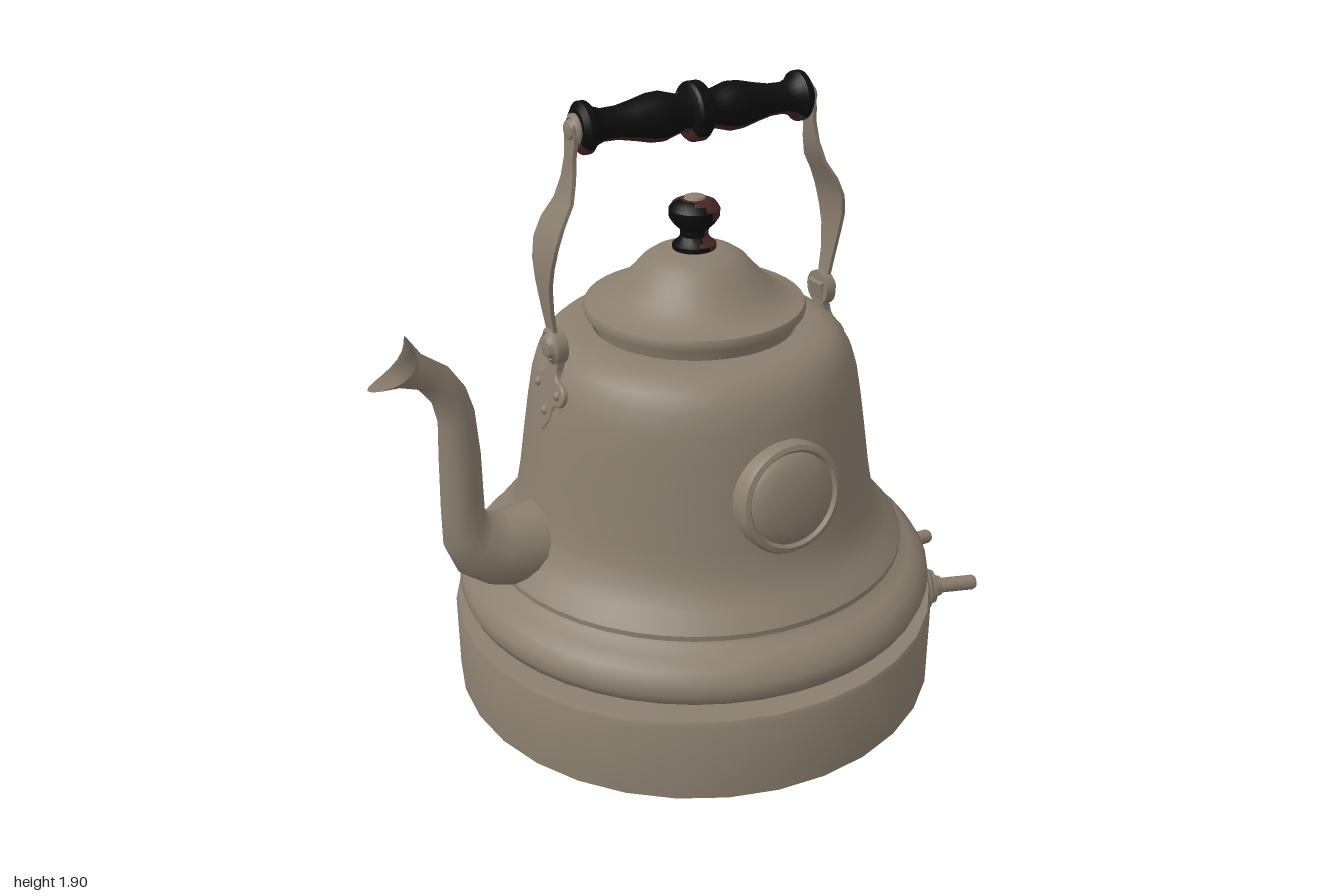
import * as THREE from 'three';
import { toCreasedNormals, mergeVertices } from 'three/addons/utils/BufferGeometryUtils.js';

const mat = (name, color, side = THREE.FrontSide) => {
  const m = new THREE.MeshStandardMaterial({ color, side });
  m.name = name;
  return m;
};

// Smooth lathe with sharp edges kept where the profile turns hard
const lathe = (profile, segments = 32) => toCreasedNormals(
  new THREE.LatheGeometry(profile.map(([r, y]) => new THREE.Vector2(r, y)), segments), 0.62);

// Skin through closed rings of points, optionally capped at both ends
function loft(rings, capped) {
  const n = rings[0].length, pos = [], idx = [];
  rings.forEach(ring => ring.forEach(p => pos.push(p.x, p.y, p.z)));
  for (let r = 0; r < rings.length - 1; r++) {
    for (let i = 0; i < n; i++) {
      const a = r * n + i, b = r * n + (i + 1) % n;
      idx.push(a, b, b + n, a, b + n, a + n);
    }
  }
  if (capped) {
    const top = (rings.length - 1) * n;
    for (let i = 1; i < n - 1; i++) idx.push(0, i + 1, i, top, top + i, top + i + 1);
  }
  const g = new THREE.BufferGeometry();
  g.setAttribute('position', new THREE.Float32BufferAttribute(pos, 3));
  g.setIndex(idx);
  g.computeVertexNormals();
  return g;
}

export function createModel() {
  const metal = mat('aged metal', 0x8a7e6e, THREE.DoubleSide);
  const red = mat('dark red wood', 0x4a2626);
  const black = mat('worn black', 0x0d0d0d);
  const model = new THREE.Group();
  model.name = 'kettle';
  const kettle = new THREE.Group();
  kettle.name = 'kettleParts';
  kettle.position.x = 0.025;
  model.add(kettle);

  const add = (parent, name, geometry, material, x = 0, y = 0, z = 0) => {
    const mesh = new THREE.Mesh(geometry, material);
    mesh.name = name;
    mesh.position.set(x, y, z);
    parent.add(mesh);
    return mesh;
  };

  // Heating base
  add(kettle, 'base', lathe([[0, 0], [0.77, 0], [0.77, 0.25], [0.762, 0.265], [0.67, 0.268]]), metal);

  // Bell-shaped body with rolled lower bulge
  add(kettle, 'body', lathe([
    [0.66, 0.262], [0.675, 0.285], [0.71, 0.29], [0.74, 0.31], [0.752, 0.34], [0.748, 0.37], [0.725, 0.405],
    [0.69, 0.43], [0.65, 0.445], [0.64, 0.458], [0.657, 0.466], [0.657, 0.482], [0.64, 0.503], [0.61, 0.535],
    [0.58, 0.575], [0.56, 0.63], [0.547, 0.7], [0.53, 0.82], [0.512, 0.94], [0.496, 1.03], [0.478, 1.09],
    [0.452, 1.135], [0.42, 1.163], [0.38, 1.175], [0.335, 1.18], [0.31, 1.18],
  ], 48), metal);

  // Lid
  add(kettle, 'lid', lathe([
    [0.3, 1.17], [0.305, 1.195], [0.31, 1.215], [0.332, 1.22], [0.335, 1.235], [0.33, 1.248], [0.3, 1.255],
    [0.265, 1.27], [0.23, 1.297], [0.19, 1.338], [0.155, 1.377], [0.125, 1.397], [0.08, 1.409], [0, 1.413],
  ], 40), metal);

  // Turned wood parts: a black worn shell leaning out of the red one
  const turned = (name, profile, shift) => {
    const g = new THREE.Group();
    g.name = name;
    const geometry = lathe(profile, 24);
    add(g, name + 'Wood', geometry, red);
    add(g, name + 'Wear', geometry, black, ...shift);
    kettle.add(g);
    return g;
  };

  turned('lidKnob', [
    [0, 1.405], [0.064, 1.405], [0.064, 1.425], [0.05, 1.435], [0.04, 1.45], [0.042, 1.47], [0.06, 1.487],
    [0.074, 1.508], [0.075, 1.532], [0.063, 1.55], [0.04, 1.56], [0, 1.563],
  ], [-0.003, -0.001, 0.001]);
  add(kettle, 'knobScrew', lathe([[0.035, 1.555], [0.03, 1.567], [0, 1.573]], 16), metal);

  // Grip, turned profile mirrored about its central ring
  const half = [[0.085, 0.016], [0.078, 0.024], [0.054, 0.03], [0.052, 0.045], [0.06, 0.075], [0.07, 0.11],
    [0.068, 0.15], [0.056, 0.2], [0.046, 0.25], [0.045, 0.295], [0.055, 0.325], [0.073, 0.342],
    [0.073, 0.36], [0.055, 0.374], [0, 0.376]];
  const grip = turned('grip', [...half.map(([r, y]) => [r, -y]).reverse(), ...half], [0.003, 0, 0.003]);
  grip.rotation.z = Math.PI / 2;
  grip.position.set(-0.003, 1.817, 0);

  // Bolt with a domed head pointing along +x
  const bolt = (parent, name, r, x, y) => {
    const m = add(parent, name, lathe([[0, -0.025], [r, -0.025], [r, 0.008], [r * 0.75, 0.016],
      [r * 0.7, 0.012], [r * 0.55, 0.026], [0, 0.034]], 20), metal, x, y);
    m.rotation.z = -Math.PI / 2;
  };

  // Strap centre line: x, y, half width
  const strapPath = [[0.388, 1.835, 0.03], [0.391, 1.78, 0.032], [0.395, 1.74, 0.027], [0.403, 1.68, 0.037],
    [0.42, 1.62, 0.052], [0.455, 1.565, 0.066], [0.478, 1.51, 0.071], [0.489, 1.45, 0.062],
    [0.49, 1.39, 0.046], [0.482, 1.31, 0.032], [0.471, 1.24, 0.026], [0.465, 1.18, 0.026]].reverse();
  const strap = toCreasedNormals(loft(strapPath.map(([x, y, w]) =>
    [[0.006, w], [0.006, -w], [-0.006, -w], [-0.006, w]].map(([dx, z]) => new THREE.Vector3(x + dx, y, z))),
  true), 0.7);

  // Trefoil bracket outline, pivot at the lower bolt
  const foil = new THREE.Shape();
  foil.moveTo(0.03, 0.02);
  foil.lineTo(0.028, -0.07);
  foil.quadraticCurveTo(0.03, -0.1, 0.055, -0.105);
  foil.absarc(0.062, -0.138, 0.032, Math.PI / 2, -Math.PI * 0.6, true);
  foil.quadraticCurveTo(0.035, -0.19, 0.03, -0.225);
  foil.quadraticCurveTo(0.015, -0.245, 0, -0.265);
  foil.quadraticCurveTo(-0.015, -0.245, -0.03, -0.225);
  foil.quadraticCurveTo(-0.035, -0.19, -0.052, -0.168);
  foil.absarc(-0.062, -0.138, 0.032, -Math.PI * 0.4, -Math.PI * 1.5, true);
  foil.quadraticCurveTo(-0.03, -0.1, -0.028, -0.07);
  foil.lineTo(-0.03, 0.02);
  const foilGeo = new THREE.ExtrudeGeometry(foil, { depth: 0.02, bevelEnabled: true, bevelSize: 0.004,
    bevelThickness: 0.004, bevelSegments: 1, curveSegments: 8 }).rotateY(Math.PI / 2);

  // Both handle sides
  for (const [side, turn] of [['left', 0], ['right', Math.PI]]) {
    const g = new THREE.Group();
    g.name = side + 'HandleSide';
    g.rotation.y = turn;
    kettle.add(g);
    add(g, 'strap', strap, metal);
    bolt(g, 'gripBolt', 0.045, 0.376, 1.817);
    bolt(g, 'hingeBolt', 0.055, 0.47, 1.195);
    const bracket = new THREE.Group();
    bracket.name = 'bracket';
    bracket.position.set(0.442, 1.195, 0);
    bracket.rotation.z = 0.19;
    g.add(bracket);
    add(bracket, 'bracketPlate', foilGeo, metal);
    for (const [y, z] of [[-0.138, 0.062], [-0.138, -0.062], [-0.205, 0]]) {
      add(bracket, 'rivet', new THREE.SphereGeometry(0.015, 10, 8), metal, 0.022, y, z);
    }
  }

  // Round medallion on the front
  const medallion = add(kettle, 'medallion', lathe([[0, -0.09], [0.165, -0.09], [0.168, 0.01], [0.16, 0.024],
    [0.146, 0.028], [0.137, 0.018], [0.125, 0.03], [0.09, 0.042], [0, 0.048]], 40), metal, 0, 0.828, 0.537);
  medallion.rotation.x = Math.PI / 2 - 0.13;

  // Three control switches on the left side of the base
  const flange = lathe([[0, 0.7], [0.098, 0.7], [0.1, 0.775], [0.092, 0.787], [0.078, 0.787], [0.076, 0.8],
    [0.06, 0.81], [0.055, 0.825], [0.038, 0.832], [0.032, 0.85], [0, 0.852]], 24);
  const stem = lathe([[0, 0.82], [0.034, 0.82], [0.025, 0.86], [0.025, 0.965], [0.02, 0.975], [0, 0.975]], 12);
  for (const a of [-0.338, 0, 0.338]) {
    const knob = new THREE.Group();
    knob.name = 'controlSwitch';
    knob.rotation.set(0, a, -Math.PI / 2, 'YXZ');
    knob.position.y = 0.135;
    kettle.add(knob);
    add(knob, 'switchFlange', flange, metal);
    add(knob, 'switchStem', stem, metal);
  }

  // Spout sections: outer x, y, inner x, y, half width
  const sections = [[-0.52, 0.46, -0.42, 0.70, 0.12], [-0.62, 0.455, -0.53, 0.70, 0.115],
    [-0.70, 0.48, -0.62, 0.695, 0.1], [-0.78, 0.54, -0.675, 0.705, 0.085], [-0.815, 0.63, -0.69, 0.74, 0.07],
    [-0.815, 0.75, -0.69, 0.80, 0.065], [-0.81, 0.92, -0.69, 0.92, 0.06], [-0.805, 1.03, -0.70, 1.06, 0.053],
    [-0.82, 1.10, -0.72, 1.13, 0.049], [-0.86, 1.155, -0.765, 1.20, 0.047],
    [-0.92, 1.175, -0.84, 1.255, 0.053], [-1.0, 1.18, -0.88, 1.315, 0.058]];
  const rings = sections.map(([ox, oy, ix, iy, w], k) => Array.from({ length: 20 }, (_, i) => {
    const t = i / 20 * Math.PI * 2, c = (1 + Math.cos(t)) / 2;
    // the sides of the mouth are cut back between its two lips
    const cut = k === sections.length - 1 ? Math.sin(t) ** 2 : 0;
    return new THREE.Vector3(ox + (ix - ox) * c + 0.05 * cut, oy + (iy - oy) * c - 0.02 * cut, -w * Math.sin(t));
  }));
  add(model, 'spout', mergeVertices(loft(rings, false)), metal);

  return model;
}
